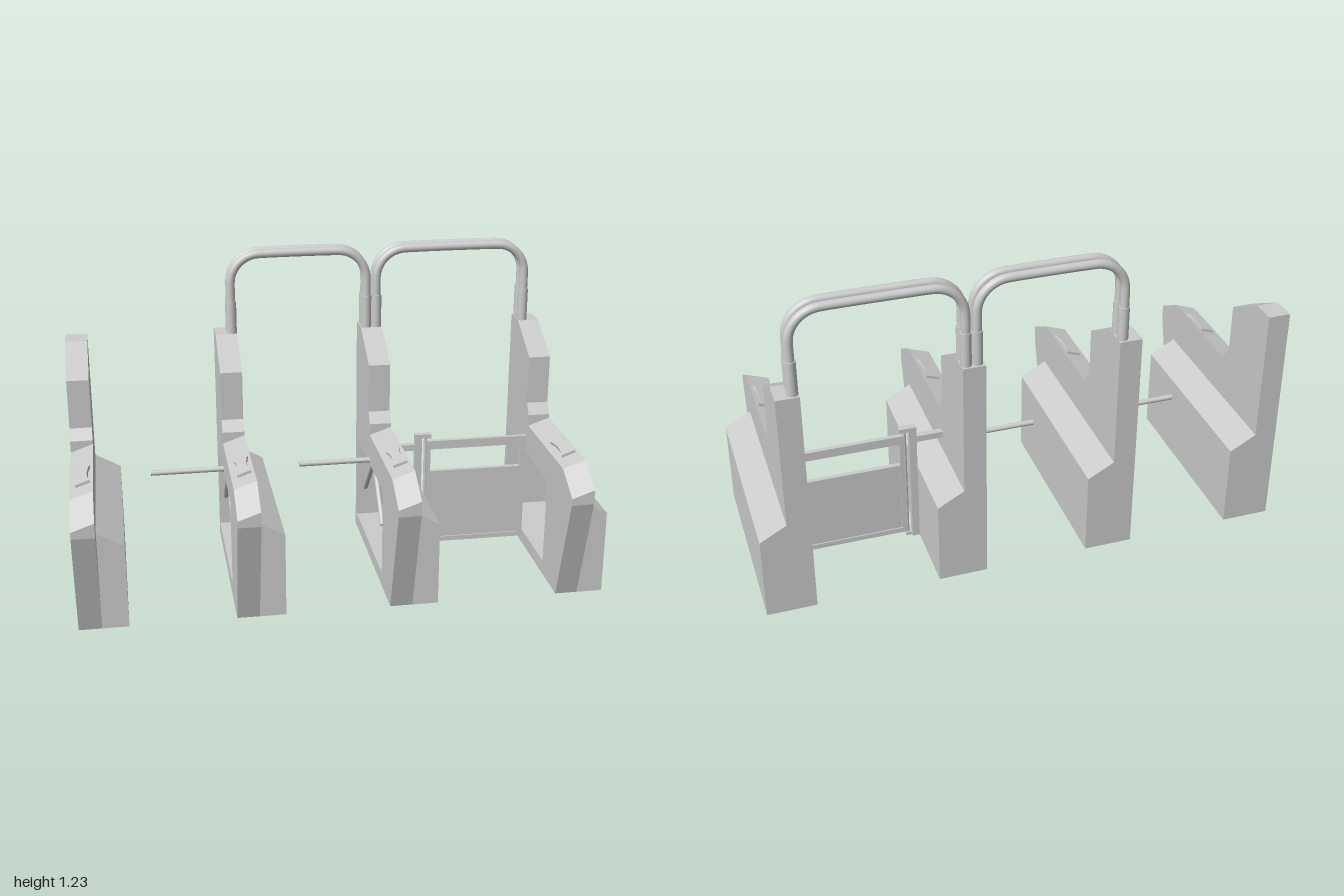
import * as THREE from 'three';

const mat = new THREE.MeshStandardMaterial({ color: 0xcccccc, side: THREE.DoubleSide });
const W = 0.085, BULGE = 0.185, BACK = -0.441, FRONT = 0.32;

// Side outline as [z, y, drop]; drop lowers the inner edge so the desk top tilts
const PROFILE = [
  [FRONT, 0, 0], [0.444, 0.426, 0], [0.444, 0.482, 0.03], [FRONT, 0.552, 0.03], [-0.134, 0.552, 0.03],
  [-0.134, 0.567, 0], [-0.167, 0.608, 0], [-0.167, 0.8, 0], [-0.346, 0.9, 0], [BACK, 0.9, 0], [BACK, 0, 0],
];

function add(parent, name, geometry, x = 0, y = 0, z = 0) {
  const mesh = new THREE.Mesh(geometry, mat);
  mesh.name = name;
  mesh.position.set(x, y, z);
  parent.add(mesh);
  return mesh;
}

// Flat-shaded strip of quads between two rows of points
function loft(a, b) {
  const pos = [];
  for (let i = 0; i < a.length - 1; i++) {
    for (const p of [a[i], b[i], b[i + 1], a[i], b[i + 1], a[i + 1]]) pos.push(...p);
  }
  const g = new THREE.BufferGeometry();
  g.setAttribute('position', new THREE.Float32BufferAttribute(pos, 3));
  g.computeVertexNormals();
  return g;
}

function shapeOf(points) {
  return new THREE.Shape(points.map(([x, y]) => new THREE.Vector2(x, y)));
}

function rect(x0, y0, x1, y1) {
  return shapeOf([[x0, y0], [x1, y0], [x1, y1], [x0, y1]]);
}

function rod(parent, name, from, to, radius) {
  const a = new THREE.Vector3(...from), b = new THREE.Vector3(...to);
  const d = b.clone().sub(a);
  const m = add(parent, name, new THREE.CylinderGeometry(radius, radius, d.length(), 16));
  m.position.copy(a).add(b).multiplyScalar(0.5);
  m.quaternion.setFromUnitVectors(new THREE.Vector3(0, 1, 0), d.normalize());
}

function cabinet(name, x) {
  const g = new THREE.Group();
  g.name = name;
  g.position.x = x;

  // Outer skin, open underneath
  add(g, 'cabinetRim', loft(
    PROFILE.map(([z, y, d]) => [0, y - d, z]),
    PROFILE.map(([z, y]) => [W, y, z])));

  // Inner side with the recess opening
  const z0 = -0.41, z1 = 0.145, floor = 0.055, top = 0.4;
  const inner = shapeOf(PROFILE.map(([z, y, d]) => [z, y - d]));
  inner.holes.push(rect(z0, floor, z1, top));
  add(g, 'innerSide', new THREE.ShapeGeometry(inner).rotateY(-Math.PI / 2));

  // Outer side above and in front of the housing
  const outer = [...PROFILE.slice(0, -1), [BACK, 0.384], [FRONT, 0.384]];
  add(g, 'outerSide', new THREE.ShapeGeometry(shapeOf(outer.map(([z, y]) => [-z, y]))).rotateY(Math.PI / 2), W);

  // Lower housing with sloped shoulder
  const section = [[W, 0.384], [BULGE, 0.328], [BULGE, 0]];
  const row = (pts, z) => pts.map(([px, py]) => [px, py, z]);
  add(g, 'housingSkin', loft(row(section, BACK), row(section, FRONT)));
  const l = [[W, 0], [W, 0.384]], r = [[BULGE, 0], [BULGE, 0.328]];
  add(g, 'housingFront', loft(row(l, FRONT), row(r, FRONT)));
  add(g, 'housingBack', loft(row(r, BACK), row(l, BACK)));

  // Recess lining
  const lining = [[0, floor], [0.178, floor], [0.178, 0.32], [W, 0.373], [W, top], [0, top]];
  add(g, 'recessLining', loft(row(lining, z0), row(lining, z1)));
  for (const z of [z0, z1]) add(g, 'recessEnd', new THREE.ShapeGeometry(shapeOf(lining)), 0, 0, z);

  // Waisted reader pad on the tilted top
  const pad = new THREE.Shape();
  pad.moveTo(-0.028, -0.07);
  pad.lineTo(0.028, -0.07);
  pad.quadraticCurveTo(0.008, 0, 0.028, 0.07);
  pad.lineTo(-0.028, 0.07);
  pad.quadraticCurveTo(-0.008, 0, -0.028, -0.07);
  const padGeo = new THREE.ExtrudeGeometry(pad, { depth: 0.012, bevelEnabled: false, curveSegments: 8 });
  padGeo.rotateX(-Math.PI / 2).rotateZ(Math.atan2(0.03, W));
  add(g, 'readerPad', padGeo, 0.05, 0.538, 0.163);
  return g;
}

// Three-armed barrier on the inner side of a cabinet
function tripod(x) {
  const g = new THREE.Group();
  g.name = 'tripodBarrier';
  g.position.set(x, 0.415, -0.137);
  rod(g, 'crossArm', [0.03, 0, 0], [-0.283, 0, 0], 0.0105);
  for (const s of [-1, 1]) rod(g, 'loweredArm', [0.02, 0, 0], [0.02, -0.2, s * 0.19], 0.0105);
  add(g, 'hub', new THREE.SphereGeometry(0.018, 16, 12), 0.025, 0, 0);
  return g;
}

// Rounded tubular arch with sleeves at its feet
function arch(x0, x1, z) {
  const g = new THREE.Group();
  g.name = 'archRail';
  const top = 1.214, r = 0.115, y0 = 0.9;
  const v = (x, y) => new THREE.Vector3(x, y, z);
  const pts = [v(x0, y0)];
  for (let i = 0; i <= 10; i++) {
    const a = (i / 10) * Math.PI / 2;
    pts.push(v(x0 + r - r * Math.cos(a), top - r + r * Math.sin(a)));
  }
  for (let i = 0; i <= 10; i++) {
    const a = (i / 10) * Math.PI / 2;
    pts.push(v(x1 - r + r * Math.sin(a), top - r + r * Math.cos(a)));
  }
  pts.push(v(x1, y0));
  const path = new THREE.CatmullRomCurve3(pts, false, 'centripetal');
  add(g, 'archTube', new THREE.TubeGeometry(path, 100, 0.0165, 16));
  for (const x of [x0, x1]) add(g, 'archSleeve', new THREE.CylinderGeometry(0.02, 0.02, 0.13, 20), x, 0.965, z);
  return g;
}

function gate() {
  const g = new THREE.Group();
  g.name = 'swingGate';
  const z = -0.153;
  const box = (name, x0, x1, y0, y1, d) =>
    add(g, name, new THREE.BoxGeometry(x1 - x0, y1 - y0, d), (x0 + x1) / 2, (y0 + y1) / 2, z);

  // Fixed post and hinge
  box('postBracket', 0.245, 0.355, 0.44, 0.465, 0.024);
  box('gatePost', 0.352, 0.38, 0.005, 0.505, 0.026);
  box('topHinge', 0.352, 0.418, 0.49, 0.507, 0.026);
  box('bottomHinge', 0.37, 0.405, 0.012, 0.024, 0.022);
  rod(g, 'hingePin', [0.397, 0.012, z], [0.397, 0.5, z], 0.007);

  // Leaf: frame with a window above an inset panel
  const frame = rect(0.4, 0.03, 0.812, 0.475);
  frame.holes.push(rect(0.417, 0.345, 0.79, 0.44), rect(0.417, 0.05, 0.79, 0.325));
  add(g, 'gateFrame', new THREE.ExtrudeGeometry(frame, { depth: 0.018, bevelEnabled: false }), 0, 0, z - 0.009);
  box('gatePanel', 0.415, 0.792, 0.048, 0.327, 0.008);
  return g;
}

export function createModel() {
  const model = new THREE.Group();
  model.name = 'turnstileRow';
  [-1, -0.416, 0.166, 0.815].forEach((x, i) => model.add(cabinet('cabinet' + (i + 1), x)));
  for (const x of [-0.416, 0.166]) model.add(tripod(x));
  for (const z of [-0.365, -0.414]) {
    model.add(arch(-0.35, 0.19, z));
    model.add(arch(0.231, 0.835, z));
  }
  model.add(gate());
  return model;
}
